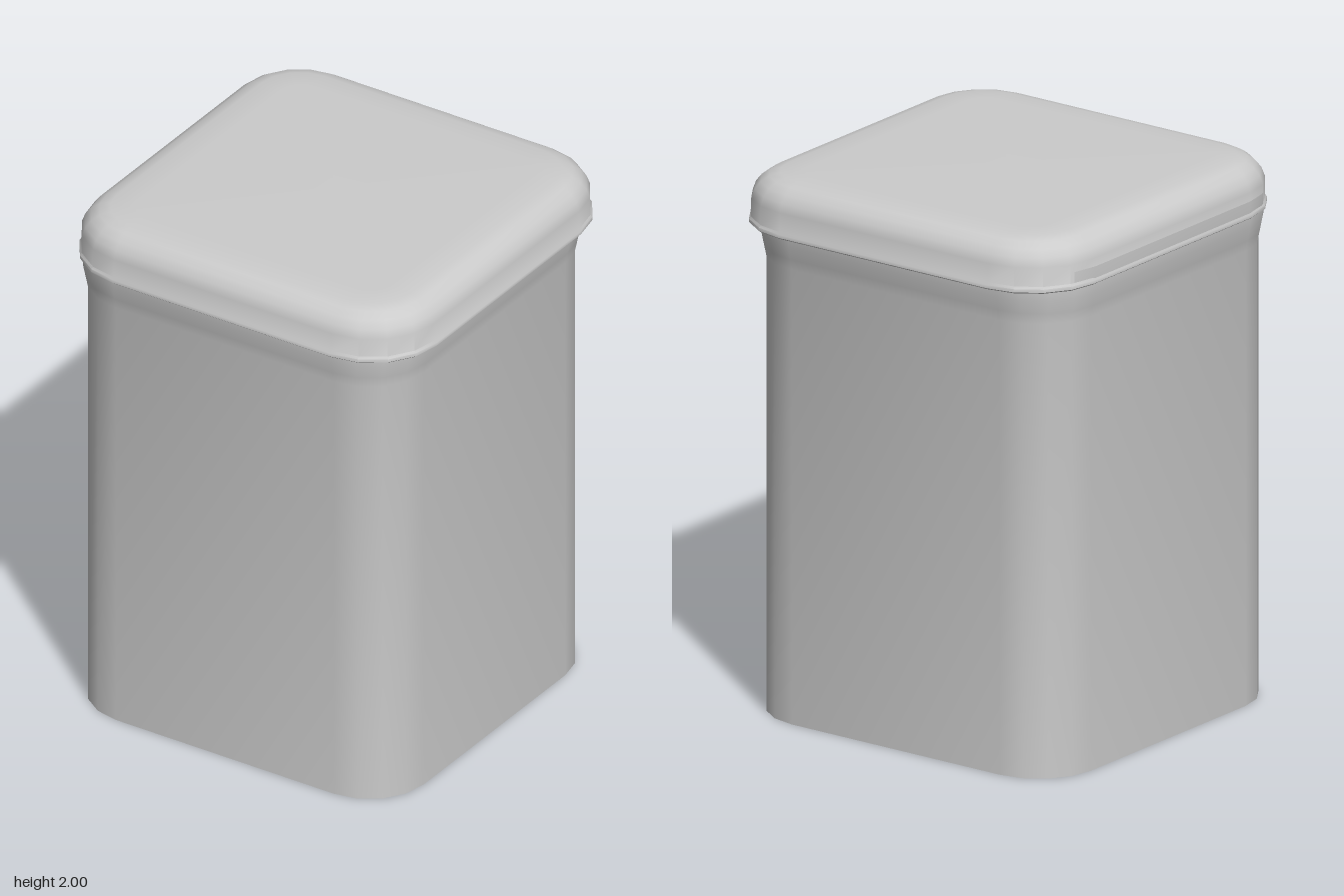
import * as THREE from 'three';
import { toCreasedNormals } from 'three/addons/utils/BufferGeometryUtils.js';

const CORNER_STEPS = 4;

// One rounded-square ring: half width, half depth and corner radius
function ring(hx, hz, r, y) {
  const pts = [];
  for (let q = 0; q < 4; q++) {
    const sx = q === 0 || q === 3 ? 1 : -1;
    const sz = q < 2 ? 1 : -1;
    for (let i = 0; i <= CORNER_STEPS; i++) {
      const a = (q + i / CORNER_STEPS) * Math.PI / 2;
      pts.push(sx * (hx - r) + r * Math.cos(a), y, sz * (hz - r) + r * Math.sin(a));
    }
  }
  return pts;
}

// Skin a profile of [half size, y] rows, optionally closed at the last row
function loft(profile, { depthOffset = 0, straight = 0.46, cap = false }) {
  const n = 4 * (CORNER_STEPS + 1);
  const pos = [], idx = [];
  for (const [h, y] of profile) {
    pos.push(...ring(h, h + depthOffset, Math.max(h - straight, 0.03), y));
  }
  for (let k = 0; k < profile.length - 1; k++) {
    for (let j = 0; j < n; j++) {
      const a = k * n + j, b = k * n + (j + 1) % n;
      idx.push(a, a + n, b, b, a + n, b + n);
    }
  }
  if (cap) {
    const base = (profile.length - 1) * n;
    pos.push(0, profile[profile.length - 1][1], 0);
    for (let j = 0; j < n; j++) idx.push(base + j, base + n, base + (j + 1) % n);
  }
  const geo = new THREE.BufferGeometry();
  geo.setAttribute('position', new THREE.Float32BufferAttribute(pos, 3));
  geo.setIndex(idx);
  return toCreasedNormals(geo, 0.75);
}

export function createModel() {
  const group = new THREE.Group();
  const material = new THREE.MeshStandardMaterial({ color: 0xcccccc, side: THREE.DoubleSide });

  // Open-bottomed body, flaring out to a neck under the lid
  const body = new THREE.Mesh(loft([
    [0.69, 0], [0.69, 1.69], [0.698, 1.73], [0.708, 1.78], [0.711, 1.82], [0.711, 1.88],
  ], { depthOffset: -0.009 }), material);
  body.name = 'body';
  body.position.set(-0.016, 0, 0.005);

  // Lid with a thin lip round its lower edge and a softly rounded top
  const lid = new THREE.Mesh(loft([
    [0.70, 1.82], [0.725, 1.815], [0.731, 1.82], [0.731, 1.832], [0.724, 1.84],
    [0.723, 1.91], [0.711, 1.942], [0.69, 1.968], [0.66, 1.988], [0.62, 1.998], [0.53, 2],
  ], { cap: true }), material);
  lid.name = 'lid';

  group.add(body, lid);
  return group;
}
